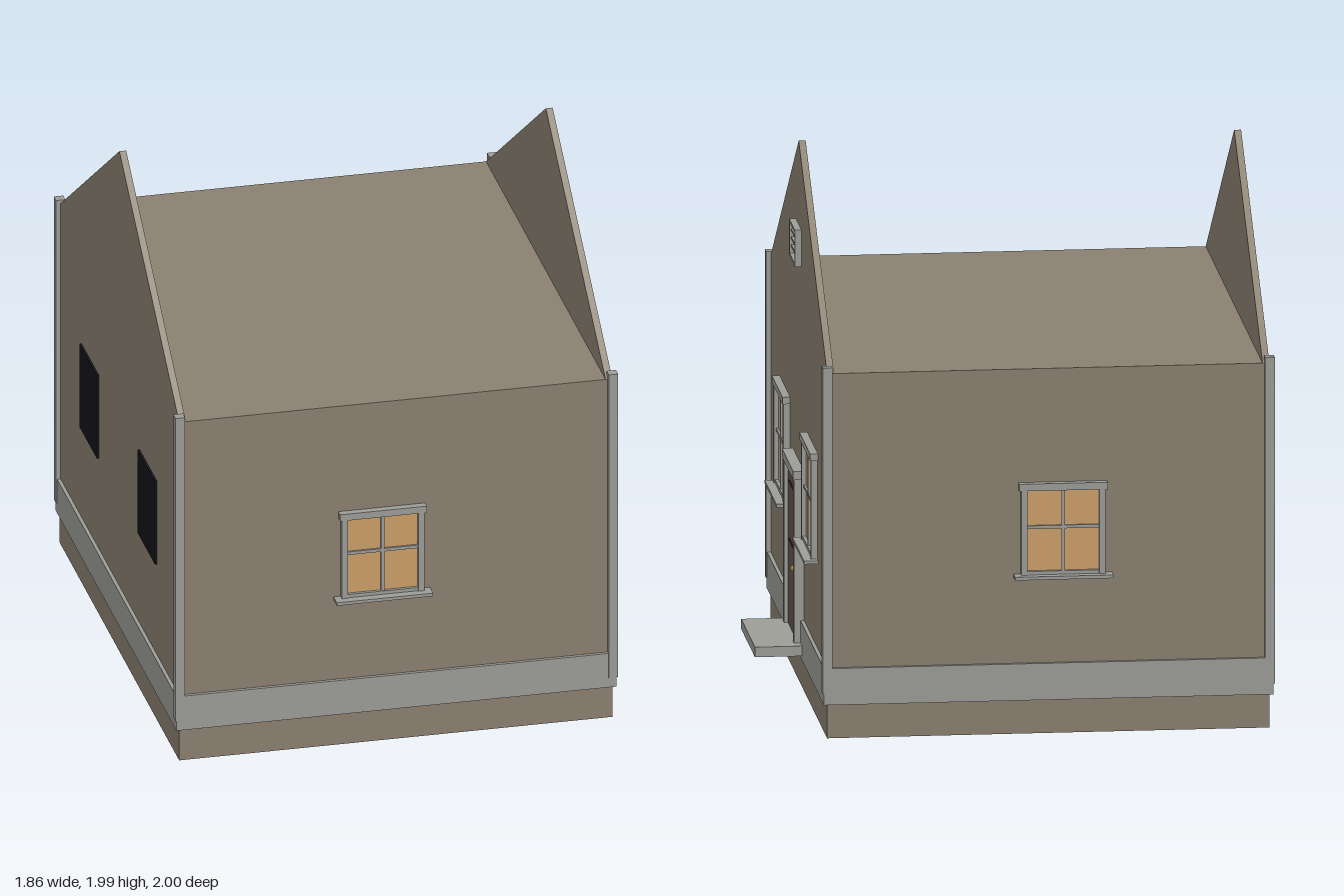
import * as THREE from 'three';

const mat = (name, color) => {
  const m = new THREE.MeshStandardMaterial({ color });
  m.name = name;
  return m;
};

export function createModel() {
  const wallMat = mat('wall taupe', 0x8b8071);
  const trimMat = mat('trim grey', 0x9c9d97);
  const glassMat = mat('warm glass', 0xcb9f69);
  const doorMat = mat('door brown', 0x64544c);
  const grooveMat = mat('groove brown', 0x40362f);
  const darkMat = mat('dark opening', 0x14151b);
  const brassMat = mat('brass', 0xc08a4e);

  const W = 0.8, D = 0.94, EAVE = 1.345, APEX = 1.99;
  const house = new THREE.Group();
  house.name = 'house';

  // Box given by its ranges on each axis
  const box = (parent, name, m, x0, x1, y0, y1, z0, z1) => {
    const mesh = new THREE.Mesh(new THREE.BoxGeometry(x1 - x0, y1 - y0, z1 - z0), m);
    mesh.position.set((x0 + x1) / 2, (y0 + y1) / 2, (z0 + z1) / 2);
    mesh.name = name;
    parent.add(mesh);
    return mesh;
  };

  // Group whose z = 0 plane lies on a wall, +z pointing outwards
  const onWall = (name, x, z, turn) => {
    const g = new THREE.Group();
    g.name = name;
    g.position.set(x, 0, z);
    g.rotation.y = turn;
    house.add(g);
    return g;
  };

  // Body and skirting band
  box(house, 'body', wallMat, -W, W, 0, EAVE, -D, D);
  box(house, 'baseBand', trimMat, -W - 0.013, W + 0.013, 0.125, 0.26, -D - 0.013, D + 0.013);

  // Gable end walls
  const tri = new THREE.Shape([
    new THREE.Vector2(-D, EAVE), new THREE.Vector2(D, EAVE), new THREE.Vector2(0, APEX),
  ]);
  for (const s of [-1, 1]) {
    const geo = new THREE.ExtrudeGeometry(tri, { depth: 0.025, bevelEnabled: false });
    const gable = new THREE.Mesh(geo, wallMat);
    gable.name = s > 0 ? 'leftGable' : 'rightGable';
    gable.rotation.y = Math.PI / 2;
    gable.position.x = s > 0 ? W - 0.025 : -W;
    house.add(gable);
  }

  // Corner posts
  for (const sx of [-1, 1]) for (const sz of [-1, 1]) {
    const x = sx * W, z = sz * D, r = 0.0175;
    box(house, 'cornerPost', trimMat, x - r, x + r, 0.165, 1.37, z - r, z + r);
  }

  // Four-pane window: half width w, from sill to top, cross bar at mid
  const addWindow = (x, z, turn, w, top, mid) => {
    const g = onWall('window', x, z, turn);
    const y0 = 0.588, j = 0.022;
    box(g, 'glass', glassMat, -w + 0.01, w - 0.01, y0, top - 0.01, 0, 0.008);
    for (const s of [-1, 1]) {
      const c = s * (w - j / 2);
      box(g, 'jamb', trimMat, c - j / 2, c + j / 2, y0, top - 0.026, 0, 0.024);
    }
    box(g, 'bottomRail', trimMat, -w + j, w - j, y0, 0.602, 0, 0.02);
    box(g, 'head', trimMat, -w - 0.008, w + 0.008, top - 0.026, top, 0, 0.028);
    box(g, 'mullion', trimMat, -0.006, 0.006, 0.6, top - 0.026, 0, 0.017);
    box(g, 'crossBar', trimMat, -w + j, w - j, mid - 0.006, mid + 0.006, 0, 0.016);
    box(g, 'sill', trimMat, -w - 0.026, w + 0.026, 0.577, 0.589, 0, 0.052);
  };
  const Q = Math.PI / 2;
  addWindow(-0.052, D, 0, 0.152, 0.926, 0.763);
  addWindow(-0.052, -D, Math.PI, 0.152, 0.926, 0.763);
  for (const s of [-1, 1]) {
    addWindow(W, s * 0.457, Q, 0.168, 0.979, 0.786);
    // Bare dark openings on the opposite wall
    const o = onWall('darkOpening', -W, s * 0.457, -Q);
    box(o, 'darkPanel', darkMat, -0.138, 0.138, 0.62, 0.95, 0, 0.008);
  }

  // Door with frame, panel grooves, knob and step
  const door = onWall('door', W, 0.002, Q);
  box(door, 'doorLeaf', doorMat, -0.152, 0.152, 0.17, 0.785, 0, 0.022);
  for (const y of [0.497, 0.712]) {
    box(door, 'panelGroove', grooveMat, -0.105, 0.105, y - 0.004, y + 0.004, 0.02, 0.025);
  }
  for (const s of [-1, 1]) {
    const c = s * 0.165;
    box(door, 'doorJamb', trimMat, c - 0.015, c + 0.015, 0.13, 0.78, 0, 0.036);
  }
  box(door, 'doorHead', trimMat, -0.187, 0.187, 0.78, 0.812, 0, 0.04);
  const knob = new THREE.Mesh(new THREE.SphereGeometry(0.011, 16, 12), brassMat);
  knob.name = 'knob';
  knob.position.set(0.112, 0.438, 0.032);
  door.add(knob);
  box(door, 'step', trimMat, -0.228, 0.228, 0.14, 0.177, 0, 0.183);

  // Louvred gable vent
  const vent = onWall('gableVent', W, 0.003, Q);
  box(vent, 'ventBack', darkMat, -0.085, 0.085, 1.55, 1.675, 0, 0.008);
  for (const s of [-1, 1]) {
    const c = s * 0.086, y = 1.613 + s * 0.062;
    box(vent, 'ventSide', trimMat, c - 0.006, c + 0.006, 1.545, 1.681, 0, 0.024);
    box(vent, 'ventRail', trimMat, -0.08, 0.08, y - 0.006, y + 0.006, 0, 0.024);
  }
  for (let i = -1; i <= 1; i++) {
    const y = 1.613 + i * 0.029;
    box(vent, 'slat', trimMat, -0.08, 0.08, y - 0.004, y + 0.004, 0, 0.018);
  }

  // The house stands slightly turned on its plot
  house.rotation.y = -0.05;
  house.position.x = -0.068;
  const model = new THREE.Group();
  model.name = 'model';
  model.add(house);
  return model;
}
